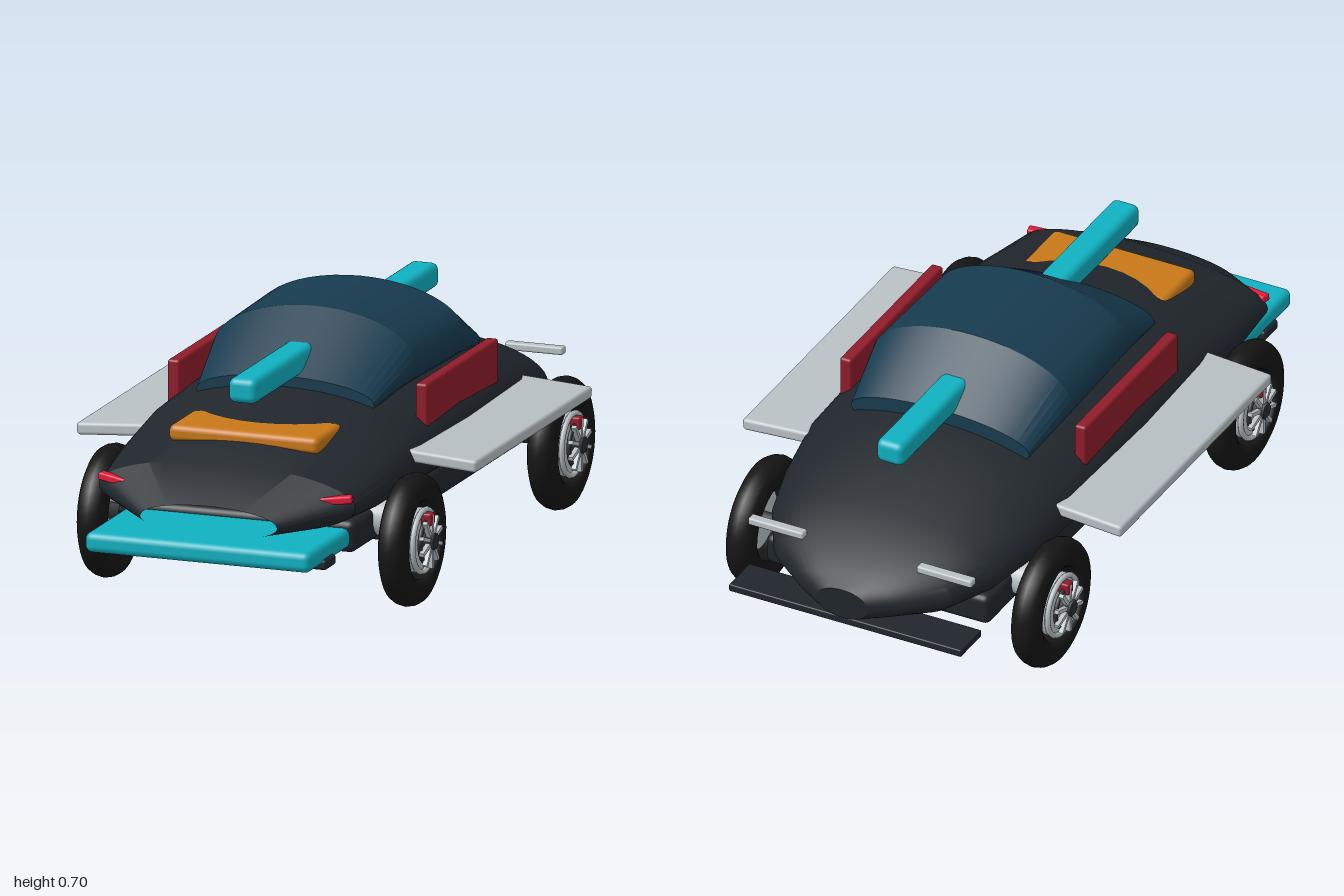
import * as THREE from 'three';
import { toCreasedNormals } from 'three/addons/utils/BufferGeometryUtils.js';
import { RoundedBoxGeometry } from 'three/addons/geometries/RoundedBoxGeometry.js';

const mat = (color) => new THREE.MeshStandardMaterial({ color });
const M = {
  body: mat(0x20262c), glass: mat(0x173b4f), cyan: mat(0x10b0c0), orange: mat(0xc87818),
  red: mat(0x8f1c2a), lamp: mat(0xe01a38), silver: mat(0xb8c0c4), tire: mat(0x151515), dark: mat(0x2a2d30),
};

// Loft of elliptical sections [z, half width, bottom, top], listed front to back
function loft(sections, capFront, capBack, n = 48) {
  const pos = [], idx = [];
  for (const [z, hw, yb, yt] of sections) {
    for (let j = 0; j < n; j++) {
      const t = (j / n) * Math.PI * 2;
      pos.push(hw * Math.cos(t), (yb + yt) / 2 + ((yt - yb) / 2) * Math.sin(t), z);
    }
  }
  for (let i = 0; i < sections.length - 1; i++) {
    for (let j = 0; j < n; j++) {
      const k = (j + 1) % n, a = i * n + j, b = i * n + k;
      idx.push(a, a + n, b, b, a + n, b + n);
    }
  }
  const last = (sections.length - 1) * n;
  for (let j = 1; j < n - 1; j++) {
    if (capFront) idx.push(0, j, j + 1);
    if (capBack) idx.push(last, last + j + 1, last + j);
  }
  const g = new THREE.BufferGeometry();
  g.setAttribute('position', new THREE.Float32BufferAttribute(pos, 3));
  g.setIndex(idx);
  return toCreasedNormals(g, 0.35);
}

function add(parent, name, geometry, material, x = 0, y = 0, z = 0) {
  const m = new THREE.Mesh(geometry, material);
  m.name = name;
  m.position.set(x, y, z);
  parent.add(m);
  return m;
}

// Rounded box given by its minimum and maximum corners
function block(parent, name, material, [x0, y0, z0], [x1, y1, z1], r = 0.01) {
  const g = new RoundedBoxGeometry(x1 - x0, y1 - y0, z1 - z0, 3, r);
  return add(parent, name, g, material, (x0 + x1) / 2, (y0 + y1) / 2, (z0 + z1) / 2);
}

// Wheel with its axis on x and its outer face toward +x
function makeWheel() {
  const w = new THREE.Group();
  w.name = 'wheel';
  const profile = [
    [0.108, -0.03], [0.125, -0.04], [0.155, -0.04], [0.172, -0.032], [0.181, -0.018], [0.185, 0],
    [0.181, 0.018], [0.172, 0.032], [0.155, 0.04], [0.125, 0.04], [0.108, 0.03], [0.108, -0.03],
  ].map(([r, h]) => new THREE.Vector2(r, h));
  const axial = (g) => g.rotateZ(-Math.PI / 2);
  add(w, 'tire', axial(new THREE.LatheGeometry(profile, 48)), M.tire);
  add(w, 'brakeDisc', axial(new THREE.CylinderGeometry(0.09, 0.09, 0.015, 40)), M.silver, 0.02);
  add(w, 'rim', new THREE.TorusGeometry(0.086, 0.008, 8, 40).rotateY(Math.PI / 2), M.silver, 0.035);
  add(w, 'hub', axial(new THREE.CylinderGeometry(0.024, 0.024, 0.1, 6)), M.dark, 0.02);
  add(w, 'hubRing', new THREE.TorusGeometry(0.058, 0.007, 8, 32).rotateY(Math.PI / 2), M.dark, 0.045);
  for (let i = 0; i < 10; i++) {
    const spoke = new THREE.BoxGeometry(0.014, 0.06, 0.011).translate(0, 0.045, 0);
    add(w, 'spoke', spoke, M.silver, 0.055).rotation.x = (i / 10) * Math.PI * 2;
  }
  block(w, 'caliper', M.red, [0.03, 0.045, -0.016], [0.062, 0.08, 0.016], 0.006);
  return w;
}

export function createModel() {
  const car = new THREE.Group();
  car.name = 'car';

  // Shell, open at the nose intake
  add(car, 'bodyShell', loft([
    [0.91, 0.2, 0.245, 0.333], [0.77, 0.375, 0.235, 0.42], [0.55, 0.4, 0.21, 0.478],
    [0.33, 0.41, 0.2, 0.53], [0, 0.415, 0.19, 0.55], [-0.43, 0.41, 0.19, 0.53],
    [-0.6, 0.388, 0.19, 0.48], [-0.75, 0.35, 0.19, 0.435], [-0.88, 0.275, 0.2, 0.382],
    [-0.96, 0.16, 0.215, 0.335], [-1, 0.08, 0.22, 0.31],
  ], false, true), M.body);
  add(car, 'cabin', loft([
    [0.33, 0.26, 0.44, 0.56], [0.11, 0.295, 0.43, 0.705],
    [-0.24, 0.305, 0.43, 0.705], [-0.43, 0.275, 0.44, 0.57],
  ], true, true), M.glass);
  block(car, 'chassis', M.body, [-0.345, 0.18, -0.8], [0.345, 0.27, 0.7], 0.02);
  block(car, 'intakeCore', M.orange, [-0.22, 0.24, 0.33], [0.22, 0.345, 0.45]);

  // Nose and tail plates
  block(car, 'frontBumper', M.cyan, [-0.33, 0.193, 0.66], [0.33, 0.25, 1], 0.02);
  block(car, 'frontSplitter', M.body, [-0.34, 0.18, 0.82], [0.34, 0.21, 0.9]);
  block(car, 'rearDiffuser', M.body, [-0.358, 0.19, -0.985], [0.358, 0.212, -0.865], 0.004);

  // Hood scoop and the long bar through the cabin
  block(car, 'hoodScoop', M.orange, [-0.22, 0.432, 0.46], [0.22, 0.48, 0.65], 0.018);
  block(car, 'roofBar', M.cyan, [-0.042, 0.56, -0.73], [0.042, 0.63, 0.66], 0.02);

  for (const s of [1, -1]) {
    block(car, 'sidePanel', M.red, [s * 0.362 - 0.018, 0.3, -0.3], [s * 0.362 + 0.018, 0.55, 0.24], 0.008);
    const wing = block(car, 'sideWing', M.silver, [s * 0.46 - 0.125, 0.365, -0.48], [s * 0.46 + 0.125, 0.4, 0.4]);
    wing.rotation.z = -s * 0.07;
    const head = block(car, 'headlight', M.lamp, [s * 0.325 - 0.045, 0.34, 0.772], [s * 0.325 + 0.045, 0.362, 0.8], 0.006);
    head.rotation.set(0, s * 0.25, s * 0.1);
    block(car, 'tailLight', M.silver, [s * 0.26 - 0.085, 0.36, -0.9], [s * 0.26 + 0.085, 0.382, -0.87], 0.006);
    for (const z of [0.51, -0.615]) {
      const wheel = makeWheel();
      wheel.position.set(s * 0.44, 0.185, z);
      wheel.rotation.y = s > 0 ? 0 : Math.PI;
      car.add(wheel);
    }
  }

  // Axles
  for (const z of [0.51, -0.615]) {
    add(car, 'axle', new THREE.CylinderGeometry(0.05, 0.05, 0.76, 24).rotateZ(Math.PI / 2), M.silver, 0, 0.24, z);
    add(car, 'axleShaft', new THREE.CylinderGeometry(0.015, 0.015, 0.84, 12).rotateZ(Math.PI / 2), M.dark, 0, 0.19, z);
  }
  return car;
}
